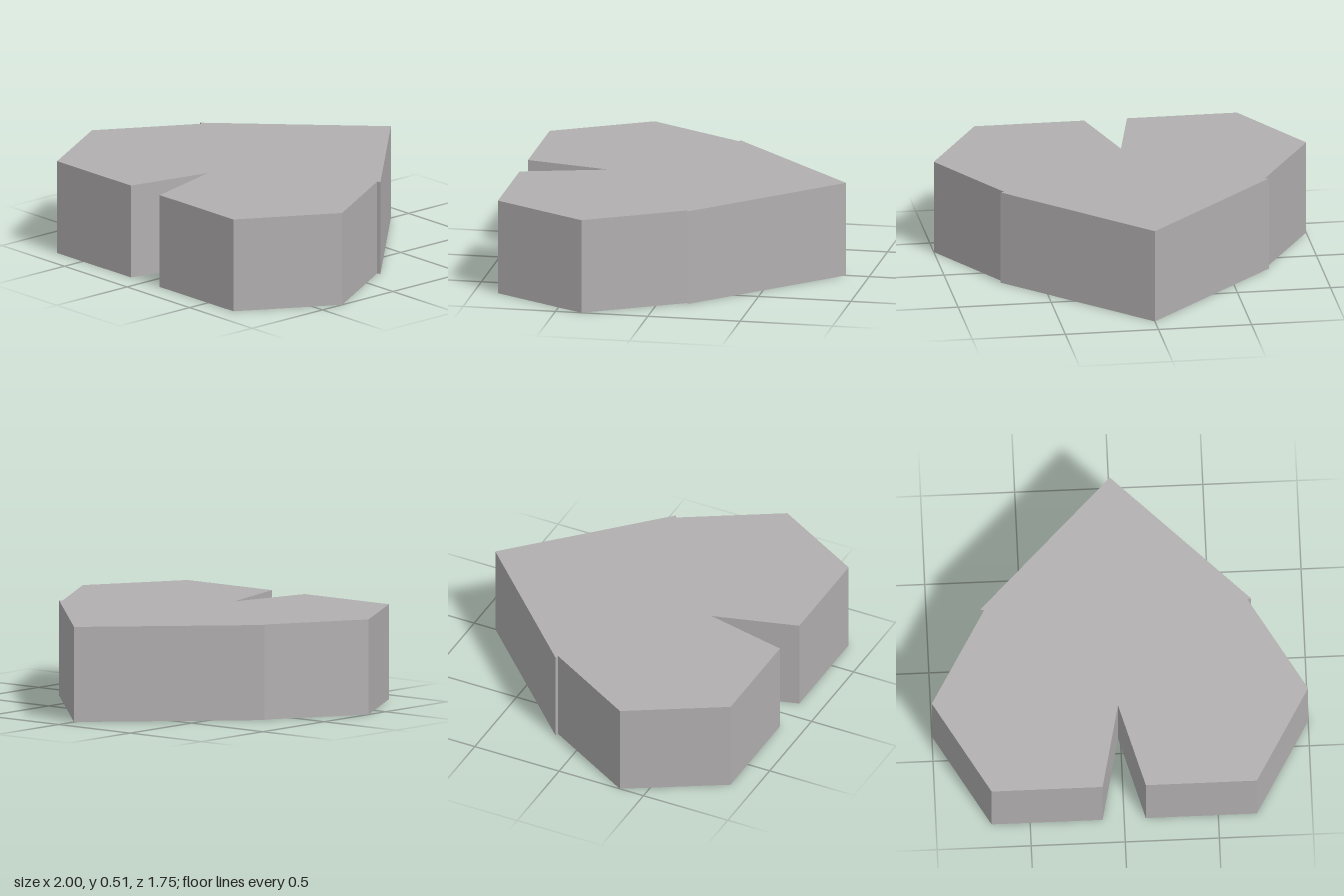
import * as THREE from 'three';

export function createModel() {
  const group = new THREE.Group();
  group.name = 'notchedBlock';
  const grey = new THREE.MeshStandardMaterial({ color: 0xb2afb0 });
  grey.name = 'grey';

  // Half outline as [x, z], from the back point round to the front notch
  const half = [[0.72, -0.16], [0.7, -0.155], [1, 0.36], [0.705, 0.87], [0.115, 0.87]];
  const mirrored = half.map(([x, z]) => [-x, z]).reverse();
  const backPoint = [0, -0.875];
  const notchTip = [-0.013, 0.413];
  const outline = [backPoint, ...half, notchTip, ...mirrored];

  // Slab: the outline raised to full height
  const shape = new THREE.Shape(outline.map(([x, z]) => new THREE.Vector2(x, -z)));
  const geometry = new THREE.ExtrudeGeometry(shape, { depth: 0.51, bevelEnabled: false });
  geometry.rotateX(-Math.PI / 2);
  const slab = new THREE.Mesh(geometry, grey);
  slab.name = 'slab';
  group.add(slab);
  return group;
}
